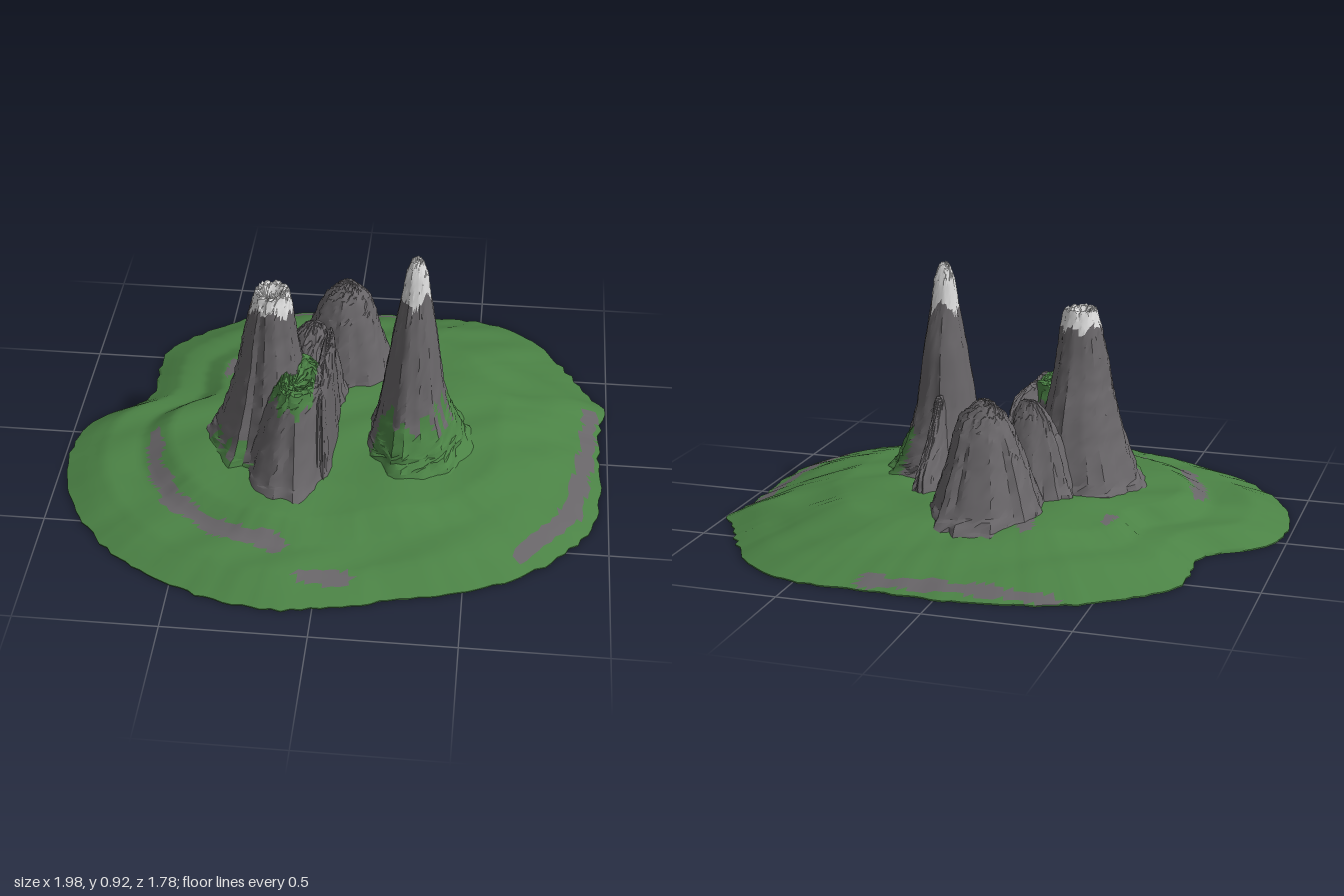
import * as THREE from 'three';
import { toCreasedNormals } from 'three/addons/utils/BufferGeometryUtils.js';

const material = (name, color) => Object.assign(new THREE.MeshStandardMaterial({ color }), { name });
const lerp = THREE.MathUtils.lerp;
const clamp = THREE.MathUtils.clamp;
const GRASS = 0, ROCK = 1, SNOW = 2;

// Repeatable value from -1 to 1
function hash(n) {
  const s = Math.sin(n * 127.1 + 11.7) * 43758.5453;
  return (s - Math.floor(s)) * 2 - 1;
}

// Value at t of a list of [t, value] pairs
function profile(list, t) {
  for (let i = 1; i < list.length; i++) {
    const [a, va] = list[i - 1], [b, vb] = list[i];
    if (t <= b) return lerp(va, vb, (t - a) / (b - a));
  }
  return list[list.length - 1][1];
}

// Closed rings of points joined into a skin, each face coloured by pick(centre)
function skin(name, rings, crease, pick, materials) {
  const n = rings[0].length, index = [];
  for (let i = 0; i < rings.length - 1; i++) {
    for (let j = 0; j < n; j++) {
      const a = i * n + j, b = i * n + (j + 1) % n, c = a + n, d = b + n;
      index.push(a, c, b, b, c, d);
    }
  }
  const points = rings.flat();
  const buckets = materials.map(() => []);
  const p = new THREE.Vector3();
  for (let k = 0; k < index.length; k += 3) {
    const tri = index.slice(k, k + 3);
    p.set(0, 0, 0);
    tri.forEach((v) => p.addScaledVector(points[v], 1 / 3));
    buckets[pick(p)].push(...tri);
  }
  let geometry = new THREE.BufferGeometry().setFromPoints(points);
  geometry.setIndex(buckets.flat());
  geometry = toCreasedNormals(geometry, crease);
  geometry.clearGroups();
  let start = 0;
  buckets.forEach((b, m) => {
    if (b.length) geometry.addGroup(start, b.length, m);
    start += b.length;
  });
  const mesh = new THREE.Mesh(geometry, materials);
  mesh.name = name;
  return mesh;
}

// Mountain from rows [y, x0, x1, z0, z1] around a centre, with weathered ridges
function mountain(name, [cx, cz], rows, seed, rough, pick, materials) {
  const sides = 44, steps = 5, rings = [];
  const ring = (row, k, id) => Array.from({ length: sides }, (_, j) => {
    const a = j / sides * Math.PI * 2, c = Math.cos(a), s = Math.sin(a);
    const ridge = Math.sin(a * 7 + seed) * 0.5 + Math.sin(a * 12 + seed * 3) * 0.4 + hash(j + seed * 50) * 0.5;
    const f = 1 + rough * (ridge * (1 - 0.6 * k) + 0.3 * hash(j * 3.1 + id * 7.7 + seed));
    return new THREE.Vector3(
      cx + c * f * (c > 0 ? row[2] - cx : cx - row[1]),
      row[0] + 0.006 * hash(j + id * 5 + seed),
      cz + s * f * (s > 0 ? row[4] - cz : cz - row[3]));
  });
  for (let i = 0; i < rows.length - 1; i++) {
    for (let s = 0; s < steps; s++) {
      const row = rows[i].map((v, q) => lerp(v, rows[i + 1][q], s / steps));
      rings.push(ring(row, (i + s / steps) / rows.length, i * steps + s));
    }
  }
  const top = rows[rows.length - 1];
  rings.push(Array.from({ length: sides }, () => new THREE.Vector3(cx, top[0], cz)));
  return skin(name, rings, 0.5, pick, materials);
}

// Shoreline as x, z pairs
const SHORE = [
  [0.99, -0.33], [0.97, -0.18], [0.965, 0], [0.97, 0.2], [0.95, 0.35], [0.85, 0.5], [0.7, 0.64],
  [0.5, 0.74], [0.2, 0.82], [0, 0.87], [-0.1, 0.885], [-0.3, 0.87], [-0.5, 0.8], [-0.7, 0.68],
  [-0.85, 0.52], [-0.95, 0.32], [-0.98, 0.1], [-0.96, -0.03], [-0.85, -0.14], [-0.745, -0.24],
  [-0.74, -0.5], [-0.67, -0.62], [-0.53, -0.74], [-0.4, -0.81], [-0.1, -0.88], [0.2, -0.87],
  [0.5, -0.86], [0.65, -0.8], [0.78, -0.66], [0.88, -0.5], [0.93, -0.4]];

// Bare rock strips on the terrain: half width, then the x, z path
const STRIPS = [
  [0.03, [-0.66, 0.1], [-0.64, 0.27], [-0.55, 0.44], [-0.4, 0.56], [-0.15, 0.64]],
  [0.022, [-0.38, -0.8], [-0.1, -0.82], [0.25, -0.835]],
  [0.03, [0.94, -0.25], [0.92, 0.05], [0.87, 0.33], [0.7, 0.56]],
  [0.025, [-0.05, 0.76], [0.1, 0.75]],
  [0.022, [-0.43, -0.33], [-0.44, -0.26]],
  [0.03, [-0.2, -0.49], [-0.16, -0.42]]];

function onStrip(p) {
  const wobble = 0.006 * Math.sin(p.x * 31) + 0.005 * Math.sin(p.z * 43);
  return STRIPS.some(([w, ...path]) => path.slice(1).some(([bx, bz], i) => {
    const [ax, az] = path[i], dx = bx - ax, dz = bz - az;
    const t = clamp(((p.x - ax) * dx + (p.z - az) * dz) / (dx * dx + dz * dz), 0, 1);
    return Math.hypot(p.x - ax - dx * t, p.z - az - dz * t) < w + wobble;
  }));
}

function terrain(materials) {
  const terraced = [[0, 0.155], [0.45, 0.14], [0.62, 0.125], [0.72, 0.07], [0.86, 0.06], [0.93, 0.035], [1, 0.005]];
  const sloped = [[0, 0.155], [0.4, 0.155], [0.62, 0.135], [0.8, 0.085], [0.91, 0.045], [1, 0.005]];
  const curve = new THREE.CatmullRomCurve3(SHORE.map(([x, z]) => new THREE.Vector3(x, 0, z)), true);
  const shore = curve.getSpacedPoints(180).slice(0, 180);
  shore.forEach((p, j) => p.multiplyScalar(1 + 0.009 * hash(j)));
  const rings = [shore.map(() => new THREE.Vector3()), shore];
  const steps = 52;
  for (let i = 0; i <= steps; i++) {
    const t = 1 - i / steps;
    rings.push(shore.map((s) => {
      const x = s.x * t, z = s.z * t;
      const w = clamp(0.5 + (x - z) * 0.9, 0, 1);
      const bump = Math.sin(x * 13 + Math.sin(z * 9) * 1.5) * Math.sin(z * 15 + x * 4) * 0.009;
      const y = lerp(profile(terraced, t), profile(sloped, t), w) + bump * Math.min(1, (1 - t) * 6);
      return new THREE.Vector3(x, y, z);
    }));
  }
  return skin('terrain', rings, 1.0, (p) => (p.y > 0.004 && onStrip(p) ? ROCK : GRASS), materials);
}

export function createModel() {
  const mats = [material('grass', 0x4b8245), material('rock', 0x686568), material('snow', 0xdcdcdc)];
  const group = new THREE.Group();
  group.name = 'mountainIsland';
  const jag = (p, size) => size * (Math.sin(p.x * 90 + p.z * 40) + Math.sin(p.z * 110 - p.x * 30));
  group.add(terrain(mats));

  // Tall spire with a grassy skirt on its front and left
  group.add(mountain('tallSpire', [0.28, 0.07], [
    [0.11, 0.1, 0.53, -0.17, 0.36], [0.17, 0.13, 0.47, -0.13, 0.31], [0.22, 0.145, 0.445, -0.11, 0.28],
    [0.3, 0.16, 0.41, -0.08, 0.24], [0.4, 0.175, 0.385, -0.05, 0.21], [0.6, 0.205, 0.36, -0.02, 0.165],
    [0.75, 0.23, 0.335, 0.02, 0.125], [0.85, 0.245, 0.322, 0.04, 0.11], [0.9, 0.262, 0.305, 0.055, 0.095],
    [0.915, 0.275, 0.29, 0.065, 0.08]], 1.3, 0.06, (p) => {
    if (p.y > 0.755 + jag(p, 0.015)) return SNOW;
    const skirt = p.x - 0.28 + (p.z - 0.07) * 0.9 > -0.03;
    return skirt && p.y < 0.31 + jag(p, 0.03) ? GRASS : ROCK;
  }, mats));

  // Narrow ridge trailing behind the spire
  group.add(mountain('spireRidge', [0.26, -0.06], [
    [0.12, 0.18, 0.33, -0.31, 0.1], [0.21, 0.215, 0.3, -0.28, 0.1], [0.3, 0.23, 0.29, -0.17, 0.1],
    [0.42, 0.245, 0.28, -0.09, 0.08], [0.45, 0.255, 0.27, -0.07, 0.04]], 2.1, 0.08, () => ROCK, mats));

  // Broad peak with a snowy crater
  group.add(mountain('craterPeak', [-0.22, 0.1], [
    [0.11, -0.48, -0.03, -0.16, 0.36], [0.18, -0.43, -0.05, -0.13, 0.32], [0.3, -0.385, -0.08, -0.09, 0.27],
    [0.4, -0.36, -0.1, -0.06, 0.24], [0.5, -0.335, -0.12, -0.02, 0.22], [0.6, -0.32, -0.135, 0.01, 0.2],
    [0.71, -0.292, -0.147, 0.03, 0.19], [0.768, -0.275, -0.16, 0.045, 0.175], [0.765, -0.255, -0.18, 0.065, 0.155],
    [0.73, -0.24, -0.2, 0.08, 0.13], [0.725, -0.225, -0.21, 0.095, 0.11]], 4.2, 0.06, (p) => {
    if (p.y > 0.71 + jag(p, 0.009)) return SNOW;
    return p.z > 0.17 && p.x < -0.26 && p.y < 0.19 + jag(p, 0.025) ? GRASS : ROCK;
  }, mats));

  // Shelf in front of the crater peak, grassy on top
  group.add(mountain('frontShelf', [-0.13, 0.24], [
    [0.1, -0.32, 0.02, 0.0, 0.5], [0.17, -0.29, 0, 0.01, 0.45], [0.3, -0.25, -0.01, 0.03, 0.39],
    [0.42, -0.21, -0.015, 0.05, 0.35], [0.48, -0.18, -0.03, 0.07, 0.325], [0.485, -0.16, -0.06, 0.1, 0.3],
    [0.46, -0.14, -0.1, 0.2, 0.27]], 5.4, 0.05,
  (p) => (p.y > 0.43 + jag(p, 0.015) && p.x < -0.055 ? GRASS : ROCK), mats));

  // Thin cliff wall facing the valley
  group.add(mountain('cliffWall', [-0.035, 0.09], [
    [0.12, -0.1, 0.015, -0.22, 0.38], [0.3, -0.08, 0, -0.19, 0.34], [0.43, -0.065, -0.01, -0.15, 0.31],
    [0.48, -0.05, -0.025, -0.1, 0.27]], 6.6, 0.06, () => ROCK, mats));

  // Saddle hill joining the crater peak to the back hill
  group.add(mountain('saddleHill', [-0.1, -0.13], [
    [0.11, -0.29, 0.04, -0.3, 0.05], [0.2, -0.25, 0.01, -0.25, 0.03], [0.33, -0.21, -0.01, -0.2, 0.01],
    [0.42, -0.17, -0.04, -0.17, -0.05], [0.47, -0.13, -0.06, -0.145, -0.1], [0.48, -0.11, -0.08, -0.14, -0.12]],
  7.7, 0.07, () => ROCK, mats));

  // Rounded rocky hill at the back
  group.add(mountain('backHill', [0.005, -0.335], [
    [0.11, -0.23, 0.2, -0.6, -0.15], [0.17, -0.2, 0.175, -0.54, -0.17], [0.3, -0.15, 0.135, -0.475, -0.2],
    [0.4, -0.11, 0.11, -0.435, -0.225], [0.47, -0.075, 0.09, -0.395, -0.255], [0.51, -0.035, 0.045, -0.365, -0.285],
    [0.53, -0.01, 0.02, -0.345, -0.32]], 8.8, 0.06, () => ROCK, mats));

  return group;
}
